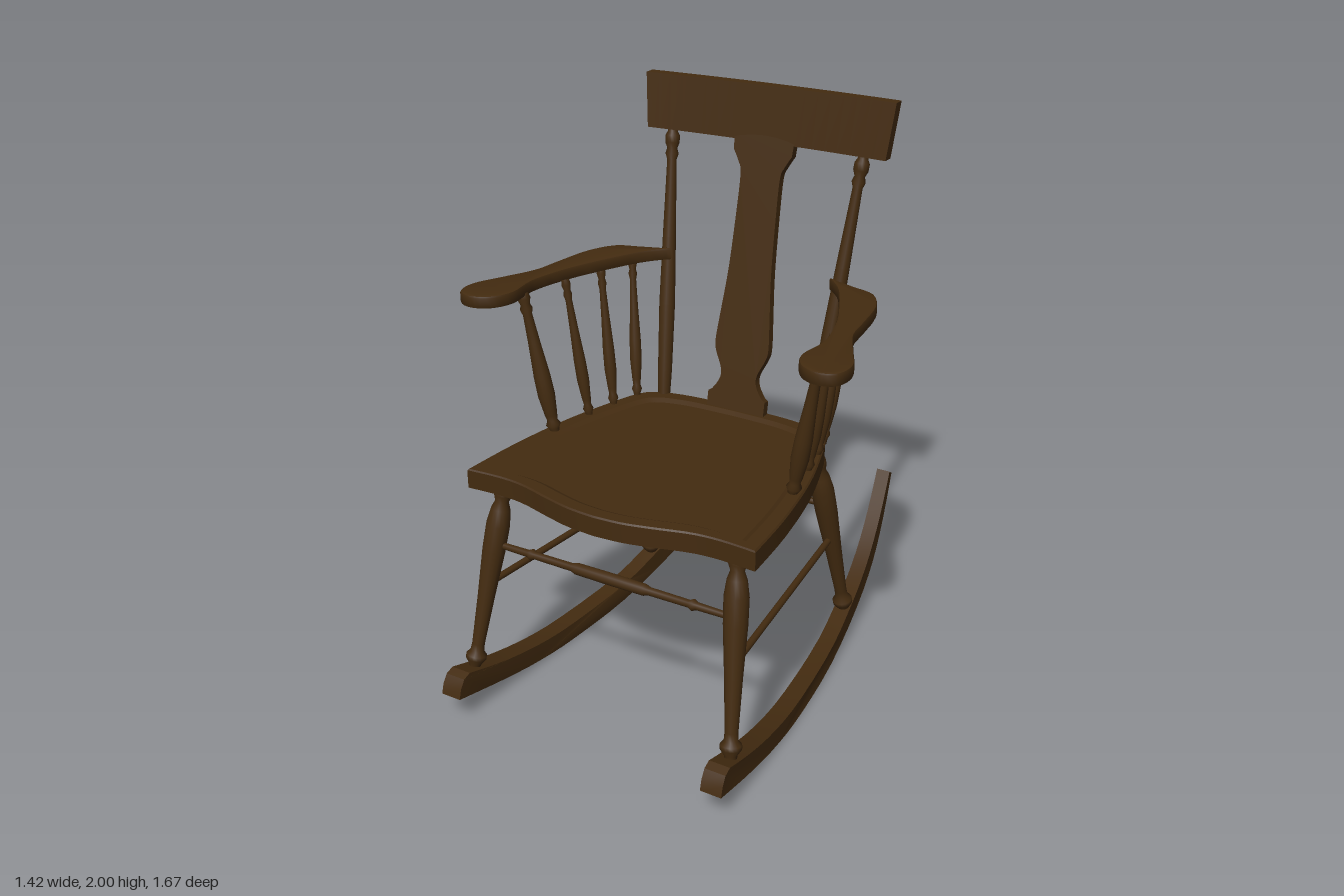
import * as THREE from 'three';
import { toCreasedNormals } from 'three/addons/utils/BufferGeometryUtils.js';

const wood = new THREE.MeshStandardMaterial({ color: 0x432b10 });
wood.name = 'dark wood';

const V = (x, y, z) => new THREE.Vector3(x, y, z);
const spline2 = (pts, n) =>
  new THREE.SplineCurve(pts.map(p => new THREE.Vector2(...p))).getPoints(n);

function add(group, name, geometry) {
  const mesh = new THREE.Mesh(geometry, wood);
  mesh.name = name;
  group.add(mesh);
  return mesh;
}

// Lathe-turned rod between two points; profile holds [fraction of length, radius]
function turned(group, name, from, to, profile, scale = 1) {
  const dir = to.clone().sub(from), len = dir.length();
  const pts = profile.map(([t, r]) => new THREE.Vector2(r * scale, t * len));
  const mesh = add(group, name, new THREE.LatheGeometry(pts, 16));
  mesh.position.copy(from);
  mesh.quaternion.setFromUnitVectors(V(0, 1, 0), dir.normalize());
}

const LEG = [[0, .02], [.03, .022], [.06, .036], [.08, .036], [.1, .024], [.14, .022], [.4, .03],
  [.65, .04], [.78, .041], [.86, .033], [.9, .023], [.93, .03], [.96, .03], [1, .022]];
const SPINDLE = [[0, .016], [.04, .018], [.07, .026], [.1, .018], [.14, .022], [.28, .03],
  [.42, .029], [.65, .021], [.85, .016], [.89, .022], [.92, .016], [.96, .023], [1, .018]];
const POST = [[0, .022], [.1, .026], [.35, .029], [.6, .024], [.88, .017], [.9, .024],
  [.92, .018], [.94, .026], [.965, .026], [.98, .018], [1, .018]];
const CROSS = [[0, .011], [.15, .013], [.165, .02], [.18, .013], [.34, .014], [.36, .02], [.5, .021],
  [.64, .02], [.66, .014], [.82, .013], [.835, .02], [.85, .013], [1, .011]];
const ROD = [[0, .012], [1, .012]];

// Saddled seat: one outline lofted through scaled rings [scale, y]
function seatGeometry() {
  const side = spline2([[0, -.262], [.2, -.255], [.33, -.225], [.385, -.17], [.43, -.05],
    [.485, .15], [.525, .4], [.543, .63]], 28);
  const front = spline2([[.543, .63], [.42, .622], [.32, .63], [.2, .662], [.1, .685], [0, .693]], 16);
  const half = side.concat(front.slice(1));
  const outline = half.concat(half.slice(1, -1).reverse().map(p => new THREE.Vector2(-p.x, p.y)));
  const rings = [[0, .8], [1, .8], [1, .865], [.99, .87], [.9, .87], [.86, .86], [0, .856]];
  const n = outline.length, pos = [], index = [];
  rings.forEach(([s, y]) => outline.forEach(p => pos.push(p.x * s, y, .22 + (p.y - .22) * s)));
  for (let r = 0; r < rings.length - 1; r++) {
    for (let i = 0; i < n; i++) {
      const a = r * n + i, b = r * n + (i + 1) % n, c = a + n, d = b + n;
      if (r < rings.length - 2) index.push(a, c, d);
      if (r > 0) index.push(a, d, b);
    }
  }
  const g = new THREE.BufferGeometry();
  g.setAttribute('position', new THREE.Float32BufferAttribute(pos, 3));
  g.setIndex(index);
  return toCreasedNormals(g, .35);
}

// Curved runner, toed in toward the back and slimmer there
const runnerX = z => .454 + .101 * z - .041 * z * z;
function rockerGeometry(s) {
  const bottom = spline2([[-.84, .1], [-.6, .045], [-.4, .012], [-.2, 0], [.1, .014],
    [.4, .083], [.6, .17], [.73, .29], [.835, .44]], 24);
  const top = spline2([[.8, .462], [.7, .35], [.58, .25], [.45, .18], [.3, .13], [.1, .082],
    [-.2, .067], [-.4, .08], [-.6, .12], [-.78, .175]], 24);
  const nose = [new THREE.Vector2(-.81, .165), new THREE.Vector2(-.83, .135)];
  const g = new THREE.ExtrudeGeometry(new THREE.Shape([...bottom, ...top, ...nose]),
    { depth: 1, bevelEnabled: false });
  g.translate(0, 0, -.5).rotateY(Math.PI / 2);
  const p = g.attributes.position;
  for (let i = 0; i < p.count; i++) {
    const z = p.getZ(i);
    p.setX(i, s * runnerX(z) + p.getX(i) * (.064 + .014 * z));
  }
  return toCreasedNormals(g, .5);
}

// Flat arm with a paddle-shaped hand rest
function armGeometry(s) {
  const pts = spline2([[.315, -.31], [.42, -.275], [.51, -.24], [.565, -.14], [.588, 0], [.605, .12],
    [.66, .24], [.706, .34], [.695, .42], [.635, .445], [.57, .415], [.535, .34],
    [.547, .22], [.525, .1], [.48, -.03], [.39, -.22], [.315, -.31]], 64);
  pts.pop();
  const shape = new THREE.Shape(pts.map(p => new THREE.Vector2(s * p.x, -p.y)));
  const g = new THREE.ExtrudeGeometry(shape, { depth: .029, bevelThickness: .008,
    bevelSize: .008, bevelOffset: -.008, bevelSegments: 2 });
  g.rotateX(-Math.PI / 2).translate(0, 1.368, 0);
  return toCreasedNormals(g, .6);
}

// Fiddle-shaped back splat, leaning back
function splatGeometry() {
  const edge = [[.115, -.02], [.115, .05], ...spline2([[.1, .06], [.075, .1], [.073, .14], [.1, .2],
    [.107, .24], [.1, .33], [.085, .5], [.078, .7], [.077, .84], [.09, .88], [.113, .92]], 36)
    .map(p => [p.x, p.y]), [.117, .98]];
  const pts = [...edge, ...edge.slice().reverse().map(([x, y]) => [-x, y])];
  const g = new THREE.ExtrudeGeometry(new THREE.Shape(pts.map(p => new THREE.Vector2(...p))),
    { depth: .03, bevelEnabled: false });
  g.translate(0, 0, -.015).rotateX(-.2).translate(0, .87, -.235);
  return toCreasedNormals(g, .5);
}

// Top rail: bowed, tapered and tilted board
function crestGeometry() {
  const g = new THREE.BoxGeometry(.96, .19, .04, 20, 1, 1);
  const p = g.attributes.position;
  for (let i = 0; i < p.count; i++) {
    const x = p.getX(i), y = p.getY(i);
    p.setX(i, x * (.98 + y * .2));
    p.setZ(i, p.getZ(i) - .445 + .016 * (x / .48) ** 2 - y * .14);
    p.setY(i, y + 1.905);
  }
  return toCreasedNormals(g, .5);
}

export function createModel() {
  const chair = new THREE.Group();
  chair.name = 'rockingChair';
  add(chair, 'seat', seatGeometry());
  add(chair, 'backSplat', splatGeometry());
  add(chair, 'crestRail', crestGeometry());

  // Arm spindles: bottom x, bottom z, top x, top z, thickness
  const spindles = [[.465, .235, .56, .258, 1], [.435, .065, .515, .072, .72],
    [.41, -.055, .475, -.09, .72], [.38, -.165, .435, -.235, .72]];

  for (const [s, side] of [[1, 'left'], [-1, 'right']]) {
    add(chair, side + 'Rocker', rockerGeometry(s));
    add(chair, side + 'Armrest', armGeometry(s));
    turned(chair, side + 'FrontLeg', V(s * .508, .14, .71), V(s * .445, .815, .557), LEG);
    turned(chair, side + 'BackLeg', V(s * .422, .11, -.315), V(s * .36, .815, -.155), LEG);
    turned(chair, side + 'BackPost', V(s * .305, .855, -.232), V(s * .372, 1.82, -.422), POST);
    turned(chair, side + 'SideStretcher', V(s * .479, .452, .635), V(s * .392, .452, -.235), ROD);
    spindles.forEach(([bx, bz, tx, tz, k], i) =>
      turned(chair, side + 'ArmSpindle' + (i + 1), V(s * bx, .855, bz), V(s * tx, 1.37, tz), SPINDLE, k));
  }

  // Cross stretchers between the legs
  turned(chair, 'frontStretcher', V(-.465, .597, .605), V(.465, .597, .605), CROSS);
  turned(chair, 'backStretcher', V(-.38, .597, -.205), V(.38, .597, -.205), CROSS);
  return chair;
}
